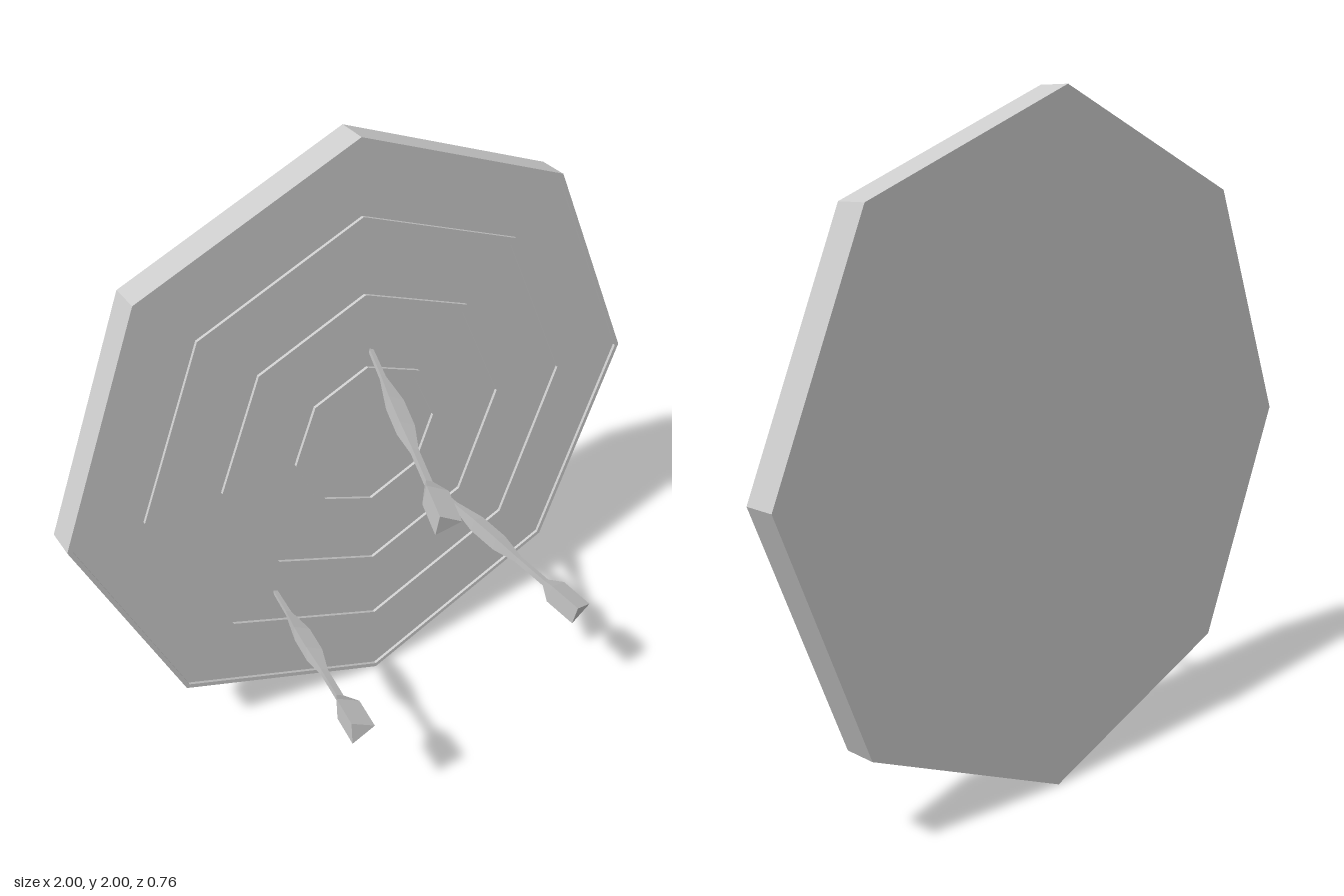
import * as THREE from 'three';

const material = new THREE.MeshStandardMaterial({ color: 0xcccccc, flatShading: true });
const points = (pairs) => pairs.map(([r, y]) => new THREE.Vector2(r, y));

// Octagonal board: one stepped profile, with panels sunk between thin ridges
function createBoard() {
  const front = 0.1, panel = 0.09;
  const profile = [[0, 0], [1, 0], [1, front], [0.985, front], [0.985, panel]];
  for (const r of [0.75, 0.5, 0.25]) {
    profile.push([r + 0.0125, panel], [r + 0.0125, front], [r - 0.0125, front], [r - 0.0125, panel]);
  }
  profile.push([0, panel]);
  const board = new THREE.Mesh(new THREE.LatheGeometry(points(profile), 8), material);
  board.name = 'board';
  board.rotation.x = Math.PI / 2;
  board.position.set(0, 1, -0.38);
  return board;
}

// Three-sided dart along +y: needle, barrel, shaft and flight
const dartGeometry = new THREE.LatheGeometry(points([
  [0, -0.012], [0.01, -0.012], [0.012, 0.1], [0.034, 0.2], [0.034, 0.3],
  [0.015, 0.39], [0.015, 0.51], [0.048, 0.55], [0.048, 0.66], [0, 0.66],
]), 3, Math.PI / 2);

// Places a dart from its tip to its tail, keeping one edge towards +x
function createDart(name, tip, tail) {
  const start = new THREE.Vector3(...tip);
  const axis = new THREE.Vector3(...tail).sub(start);
  const length = axis.length();
  axis.normalize();
  const side = new THREE.Vector3(1, 0, 0).addScaledVector(axis, -axis.x).normalize();
  const up = new THREE.Vector3().crossVectors(side, axis);
  const dart = new THREE.Mesh(dartGeometry, material);
  dart.name = name;
  dart.quaternion.setFromRotationMatrix(new THREE.Matrix4().makeBasis(side, axis, up));
  dart.position.copy(start);
  dart.scale.y = length / 0.66;
  return dart;
}

export function createModel() {
  const model = new THREE.Group();
  model.name = 'dartboard';
  model.add(
    createBoard(),
    createDart('upperDart', [0.015, 1.31, -0.28], [-0.138, 1.144, 0.342]),
    createDart('lowerLeftDart', [0.24, 0.71, -0.28], [0.385, 0.545, 0.335]),
    createDart('lowerRightDart', [-0.365, 0.53, -0.28], [-0.452, 0.54, 0.376]),
  );
  return model;
}
